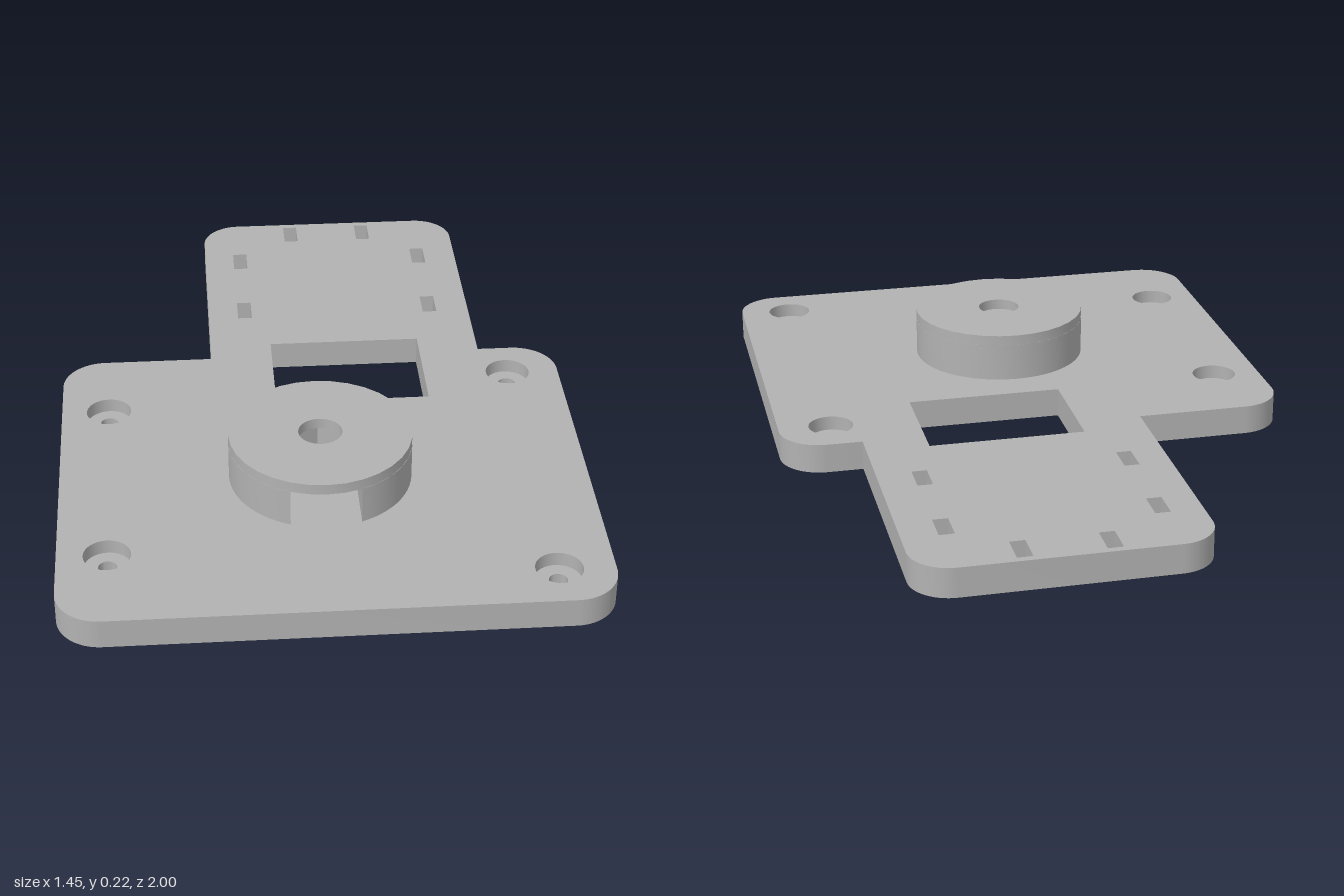
import * as THREE from 'three';
import { toCreasedNormals } from 'three/addons/utils/BufferGeometryUtils.js';

const PLATE = 0.083, SEAT = 0.043;      // plate thickness, counterbore floor
const BOSS_X = -0.01, BOSS_Z = 0.4, BOSS_R = 0.25, BORE = 0.06;
const NOTCH_TOP = 0.19, BOSS_TOP = 0.22, NOTCH_H = 0.095;
const HEAD_R = 0.063, SCREW_R = 0.025;
const CREASE = 0.5, SEG = 32;

export function createModel() {
  const grey = new THREE.MeshStandardMaterial({ color: 0xb2b2b2 });
  grey.name = 'grey';
  const model = new THREE.Group();
  model.name = 'mountingPlate';

  const add = (parent, name, geometry, x = 0, y = 0, z = 0) => {
    const mesh = new THREE.Mesh(geometry, grey);
    mesh.name = name;
    mesh.position.set(x, y, z);
    parent.add(mesh);
  };
  // Shapes are drawn in (x, -z) and extruded upwards
  const extrude = (shape, depth, curveSegments) =>
    new THREE.ExtrudeGeometry(shape, { depth, bevelEnabled: false, curveSegments }).rotateX(-Math.PI / 2);
  const circle = (x, z, r) => new THREE.Path().absarc(x, -z, r, 0, Math.PI * 2, false);
  const rect = (x0, z0, x1, z1) => new THREE.Path(
    [[x0, -z0], [x1, -z0], [x1, -z1], [x0, -z1]].map(p => new THREE.Vector2(...p)));
  const lathe = points => toCreasedNormals(
    new THREE.LatheGeometry(points.map(p => new THREE.Vector2(...p)), SEG), CREASE);

  // Plate outline: wide body in front, narrower tongue behind
  const W = 0.723, R = 0.12, TL = -0.29, TR = 0.505, T = 0.11, S = 0.2;
  const outline = new THREE.Shape();
  outline.moveTo(-W + R, -1);
  outline.absarc(W - R, -1 + R, R, -Math.PI / 2, 0, false);
  outline.absarc(W - R, S - R, R, 0, Math.PI / 2, false);
  outline.lineTo(TR, S);
  outline.absarc(TR - T, 1 - T, T, 0, Math.PI / 2, false);
  outline.absarc(TL + T, 1 - T, T, Math.PI / 2, Math.PI, false);
  outline.lineTo(TL, S);
  outline.absarc(-W + R, S - R, R, Math.PI / 2, Math.PI, false);
  outline.absarc(-W + R, -1 + R, R, Math.PI, Math.PI * 1.5, false);

  // Window, cable tie slots, centre bore and screw holes
  const screws = [[-0.59, 0.06], [-0.59, 0.73], [0.575, -0.07], [0.575, 0.865]];
  const slots = [[-0.18, -0.77], [-0.18, -0.47], [0.387, -0.77], [0.387, -0.47], [-0.01, -0.935], [0.222, -0.935]];
  outline.holes.push(
    rect(-0.11, -0.27, 0.33, 0.045),
    circle(BOSS_X, BOSS_Z, BORE),
    ...slots.map(([x, z]) => rect(x - 0.021, z - 0.045, x + 0.021, z + 0.045)),
    ...screws.map(([x, z]) => circle(x, z, HEAD_R)));
  add(model, 'plate', toCreasedNormals(extrude(outline, PLATE, SEG / 2), CREASE));

  // Counterbore seats with the smaller screw hole through them
  const seat = lathe([[HEAD_R, SEAT], [SCREW_R, SEAT], [SCREW_R, 0], [HEAD_R, 0]]);
  for (const [x, z] of screws) add(model, 'screwSeat', seat, x, 0, z);

  // Boss with a nut pocket open to the front
  const boss = new THREE.Group();
  boss.name = 'boss';
  boss.position.set(BOSS_X, 0, BOSS_Z);
  model.add(boss);
  const a = Math.acos(NOTCH_H / BOSS_R), k = NOTCH_H / Math.sqrt(3);
  const pocketBack = shape => {
    shape.lineTo(NOTCH_H, k);
    shape.lineTo(0, 2 * k);
    shape.lineTo(-NOTCH_H, k);
  };

  // Lower walls only: the caps are covered by the plate and the boss top
  const lower = new THREE.Shape();
  lower.absarc(0, 0, BOSS_R, -a, Math.PI + a, false);
  lower.lineTo(-NOTCH_H, k);
  lower.lineTo(0, 2 * k);
  lower.lineTo(NOTCH_H, k);
  const solid = extrude(lower, NOTCH_TOP - PLATE, SEG);
  const { start, count } = solid.groups[1];
  const walls = new THREE.BufferGeometry();
  walls.setAttribute('position', new THREE.BufferAttribute(
    solid.attributes.position.array.slice(start * 3, (start + count) * 3), 3));
  add(boss, 'bossWalls', toCreasedNormals(walls, CREASE), 0, PLATE, 0);

  // Top ring with the bore
  add(boss, 'bossTop', lathe([[BOSS_R, NOTCH_TOP], [BOSS_R, BOSS_TOP], [BORE, BOSS_TOP], [BORE, NOTCH_TOP]]));

  // Downward facing ceiling of the nut pocket
  const ceiling = new THREE.Shape();
  ceiling.absarc(0, 0, BOSS_R, Math.PI + a, Math.PI * 2 - a, false);
  pocketBack(ceiling);
  ceiling.holes.push(circle(0, 0, BORE));
  add(boss, 'pocketCeiling', new THREE.ShapeGeometry(ceiling, SEG / 2).rotateX(Math.PI / 2).rotateY(Math.PI), 0, NOTCH_TOP, 0);

  return model;
}
